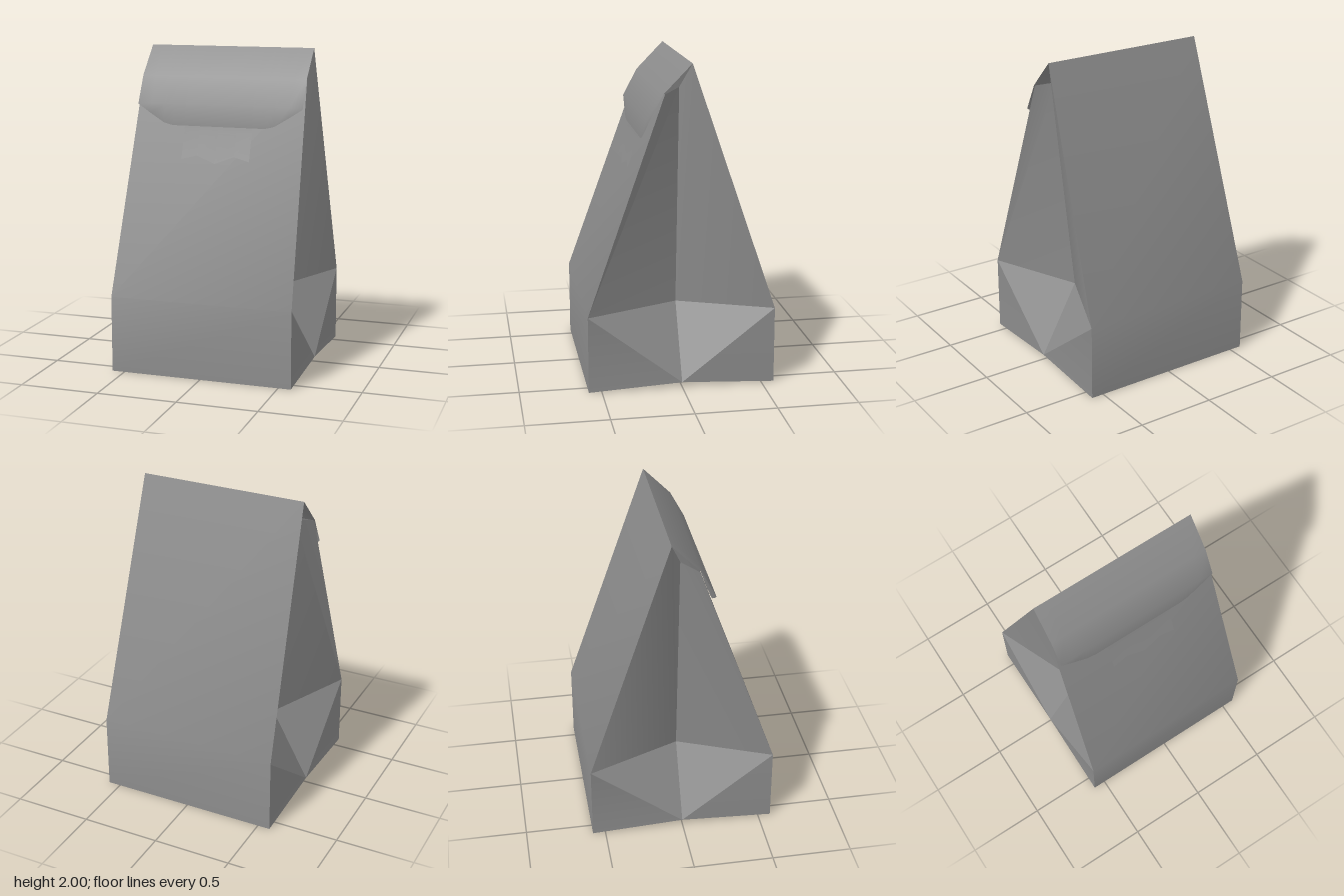
import * as THREE from 'three';
import { toCreasedNormals } from 'three/addons/utils/BufferGeometryUtils.js';

const paper = new THREE.MeshStandardMaterial({ color: 0x8c8c8c, side: THREE.DoubleSide });
paper.name = 'grey paper';

// Sheet lofted through rows of points; each row runs left to right, rows run top to bottom
function sheet(name, rows) {
  const cols = rows[0].length;
  const index = [];
  for (let r = 0; r < rows.length - 1; r++) {
    for (let c = 0; c < cols - 1; c++) {
      const a = r * cols + c, b = a + cols;
      index.push(a, b, a + 1, b, b + 1, a + 1);
    }
  }
  return polygonMesh(name, rows.flat(), index);
}

function polygonMesh(name, points, index) {
  const g = new THREE.BufferGeometry();
  g.setAttribute('position', new THREE.Float32BufferAttribute(points.flat(), 3));
  g.setIndex(index);
  const mesh = new THREE.Mesh(toCreasedNormals(g, 0.5), paper);
  mesh.name = name;
  return mesh;
}

const HALF = 0.58, TOP_HALF = 0.535, SHOULDER = 0.48;
const span = (w, y, z) => [[-w, y, z], [w, y, z]];
const frontZ = y => HALF - (y - SHOULDER) * 0.48 / 1.34;

// Folded-in side: outer edges follow the panels, the middle crease is pushed inward
function gusset(name, side) {
  const points = [
    [HALF, 0, HALF], [HALF, 0.03, 0], [HALF, 0, -HALF],
    [HALF, SHOULDER, HALF], [0.335, SHOULDER, 0], [HALF, SHOULDER, -HALF],
    [TOP_HALF, 1.82, 0.1], [0.45, 1.85, 0], [TOP_HALF, 2, -0.065],
  ].map(([x, y, z]) => [x * side, y, z]);
  const faces = [
    [0, 1, 3], [1, 4, 3], [1, 2, 5], [1, 5, 4],
    [3, 4, 7], [3, 7, 6], [4, 5, 8], [4, 8, 7],
  ];
  return polygonMesh(name, points, faces.flatMap(f => (side > 0 ? f : [...f].reverse())));
}

export function createModel() {
  const bag = new THREE.Group();
  bag.name = 'paperBag';

  // Front and back panels, bent at the shoulder
  bag.add(sheet('frontPanel', [
    span(TOP_HALF, 1.82, 0.1), span(HALF, SHOULDER, HALF), span(HALF, 0, HALF),
  ]));
  bag.add(sheet('backPanel', [
    span(HALF, 0, -HALF), span(HALF, SHOULDER, -HALF), span(TOP_HALF, 2, -0.065),
  ]));

  // Base with a slight ridge across the middle
  bag.add(sheet('base', [span(HALF, 0, HALF), span(HALF, 0.03, 0), span(HALF, 0, -HALF)]));

  bag.add(gusset('leftGusset', 1), gusset('rightGusset', -1));

  // Closing flap folded over the front, with a rounded lower edge
  const half = [[0.22, 1.52], [0.3, 1.52], [0.36, 1.535], [0.45, 1.59], [TOP_HALF, 1.645]];
  const edge = [...half.map(([x, y]) => [-x, y]).reverse(), ...half];
  const across = (y, z) => edge.map(([x]) => [x, y, z]);
  const flapZ = y => 0.2 + (1.65 - y) * 0.1;
  bag.add(sheet('flap', [
    across(2, -0.065), across(1.82, 0.11), across(1.65, 0.2),
    edge.map(([x, y]) => [x, y, flapZ(y)]),
  ]));

  // Tongue of the flap lying against the front panel, with a wavy end
  const tongueEnd = [[-0.22, 1.32], [-0.12, 1.345], [0, 1.3], [0.12, 1.345], [0.22, 1.32]];
  bag.add(sheet('tongue', [
    tongueEnd.map(([x]) => [x, 1.52, flapZ(1.52)]),
    tongueEnd.map(([x]) => [x, 1.48, frontZ(1.48) + 0.003]),
    tongueEnd.map(([x, y]) => [x, y, frontZ(y) + 0.002]),
  ]));

  return bag;
}
